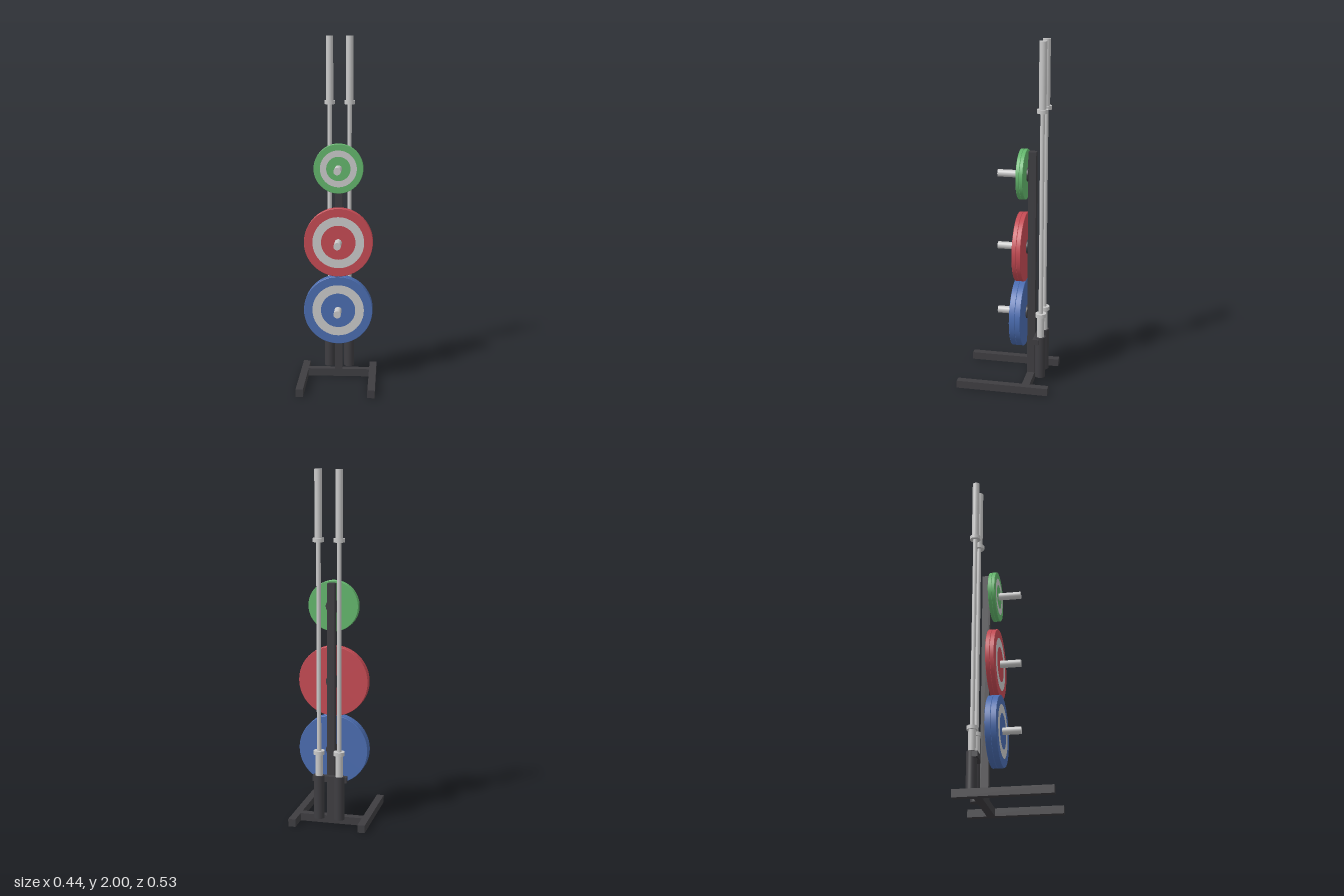
import * as THREE from 'three';

const material = (name, color) => {
  const m = new THREE.MeshStandardMaterial({ color });
  m.name = name;
  return m;
};

export function createModel() {
  const model = new THREE.Group();
  model.name = 'weightRack';
  const frame = material('charcoal', 0x3e3d41);
  const steel = material('steel', 0xc9c9c9);
  const green = material('green', 0x62b56b);
  const red = material('red', 0xc44a53);
  const blue = material('blue', 0x4a6cb0);

  const add = (name, geometry, mat, parent = model) => {
    const mesh = new THREE.Mesh(geometry, mat);
    mesh.name = name;
    parent.add(mesh);
    return mesh;
  };
  // box given by its extents on each axis
  const box = (name, x0, x1, y0, y1, z0, z1) =>
    add(name, new THREE.BoxGeometry(x1 - x0, y1 - y0, z1 - z0), frame)
      .position.set((x0 + x1) / 2, (y0 + y1) / 2, (z0 + z1) / 2);
  // upright cylinder between two heights
  const rod = (name, r, y0, y1, mat, parent) => {
    const mesh = add(name, new THREE.CylinderGeometry(r, r, y1 - y0, 32), mat, parent);
    mesh.position.y = (y0 + y1) / 2;
  };
  // cylinder lying along z
  const disc = (name, r, z0, z1, mat, parent) => {
    const g = new THREE.CylinderGeometry(r, r, z1 - z0, 48).rotateX(Math.PI / 2);
    add(name, g, mat, parent).position.z = (z0 + z1) / 2;
  };

  // base, upright and the bracket that carries the sockets
  box('rightFoot', -0.222, -0.18, 0, 0.044, -0.267, 0.267);
  box('leftFoot', 0.18, 0.222, 0, 0.044, -0.267, 0.267);
  box('crossbar', -0.18, 0.18, 0, 0.044, -0.157, -0.112);
  box('upright', -0.022, 0.022, 0.044, 1.38, -0.157, -0.112);
  box('socketBracket', -0.098, 0.098, 0.255, 0.287, -0.191, -0.157);

  // two bars standing in sockets
  for (const [side, x] of [['right', -0.058], ['left', 0.058]]) {
    const bar = new THREE.Group();
    bar.name = side + 'Bar';
    bar.position.set(x, 0, -0.197);
    model.add(bar);
    rod('socket', 0.03, 0.044, 0.295, frame, bar);
    rod('lowerSleeve', 0.021, 0.05, 0.42, steel, bar);
    rod('lowerCollar', 0.031, 0.418, 0.44, steel, bar);
    rod('shaft', 0.0125, 0.43, 1.62, steel, bar);
    rod('upperCollar', 0.031, 1.61, 1.632, steel, bar);
    rod('upperSleeve', 0.021, 1.62, 2, steel, bar);
  }

  // one bevelled plate
  const plate = (r, z0, z1, mat, parent) => {
    const b = 0.002;
    const corners = [[0, z0], [r - b, z0], [r, z0 + b], [r, z1 - b], [r - b, z1], [0, z1]];
    // each profile segment is turned separately to keep its edges sharp
    for (let i = 0; i < corners.length - 1; i++) {
      const points = [corners[i], corners[i + 1]].map(p => new THREE.Vector2(...p));
      add('plate', new THREE.LatheGeometry(points, 64).rotateX(Math.PI / 2), mat, parent);
    }
  };

  // pegs, each with a pair of plates and a painted band on the front one
  const stacks = [
    ['green', 1.248, 0.143, 0.02, 0.07, 0.106, green],
    ['red', 0.82, 0.2, 0.025, 0.1, 0.15, red],
    ['blue', 0.422, 0.2, 0.0325, 0.1, 0.15, blue],
  ];
  for (const [name, y, r, thickness, inner, outer, mat] of stacks) {
    const stack = new THREE.Group();
    stack.name = name + 'Stack';
    stack.position.y = y;
    model.add(stack);
    disc('peg', 0.021, -0.112, 0.065, steel, stack);
    disc('pegFlange', 0.04, -0.113, -0.105, frame, stack);
    for (let i = 0; i < 2; i++) {
      const z = -0.103 + i * thickness;
      plate(r, z, z + thickness, mat, stack);
    }
    const band = add('plateBand', new THREE.RingGeometry(inner, outer, 64), steel, stack);
    band.position.z = -0.103 + 2 * thickness + 0.001;
  }
  return model;
}
